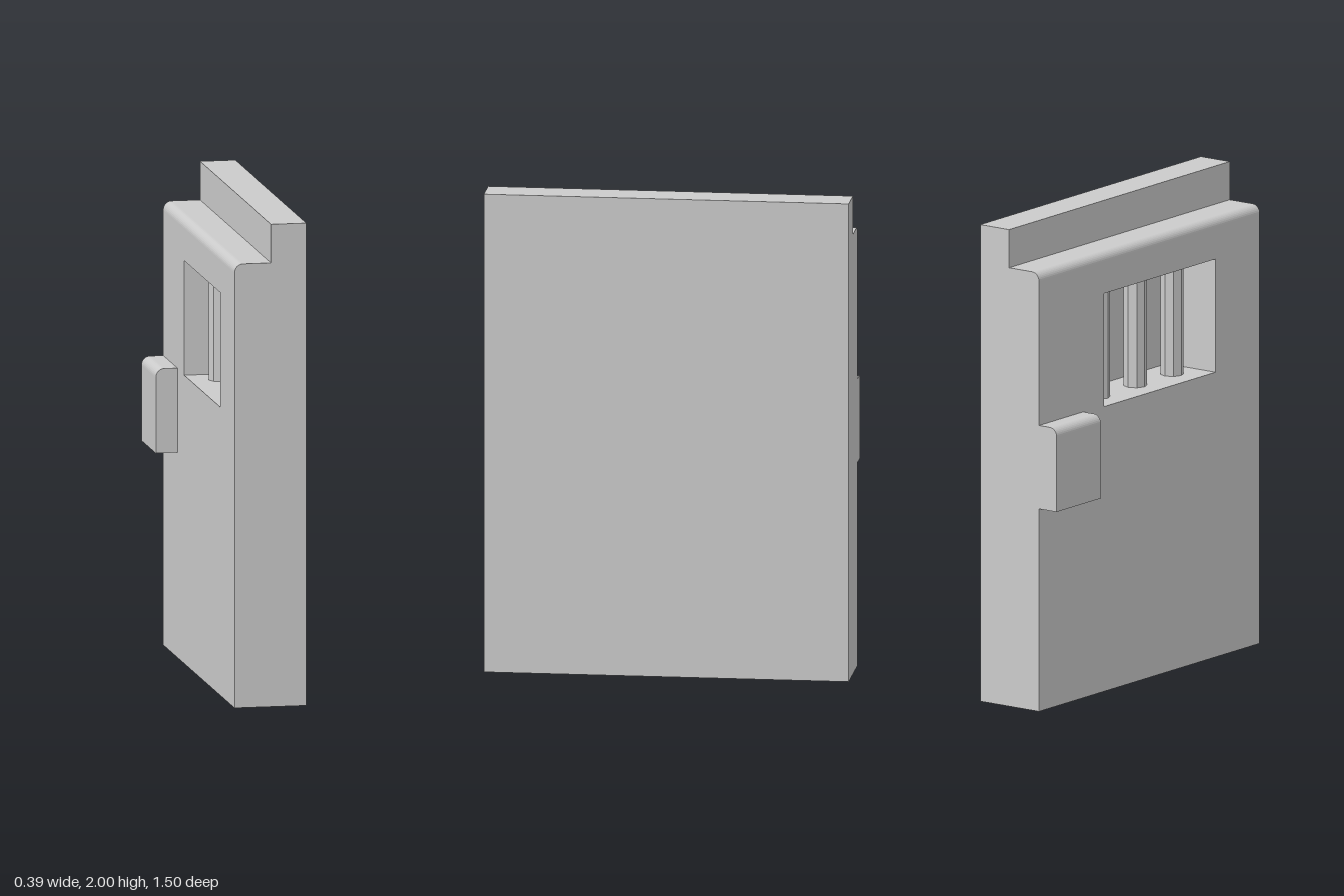
import * as THREE from 'three';

const material = new THREE.MeshStandardMaterial({ color: 0xcccccc, flatShading: true });

// Main dimensions
const FACE = -0.105, BACK = 0.195, STEP = 0.048, LEDGE = 1.84, HALF = 0.75;
const win = { z0: -0.31, z1: 0.45, y0: 1.195, y1: 1.67, depth: 0.25 };
const ROUND = 0.035;

// Extrudes an xy profile between two z positions
function slab(name, shape, z0, z1) {
  const geometry = new THREE.ExtrudeGeometry(shape, { depth: z1 - z0, bevelEnabled: false, curveSegments: 4 });
  geometry.translate(0, 0, z0);
  const mesh = new THREE.Mesh(geometry, material);
  mesh.name = name;
  return mesh;
}

// Cross-section of the door, optionally with the window recess cut into its face
function doorProfile(withWindow) {
  const s = new THREE.Shape();
  s.moveTo(FACE, 0);
  s.lineTo(BACK, 0);
  s.lineTo(BACK, 2);
  s.lineTo(STEP, 2);
  s.lineTo(STEP, LEDGE);
  s.lineTo(FACE + ROUND, LEDGE);
  s.absarc(FACE + ROUND, LEDGE - ROUND, ROUND, Math.PI / 2, Math.PI, false);
  if (withWindow) {
    s.lineTo(FACE, win.y1);
    s.lineTo(FACE + win.depth, win.y1);
    s.lineTo(FACE + win.depth, win.y0);
    s.lineTo(FACE, win.y0);
  }
  s.closePath();
  return s;
}

export function createModel() {
  const model = new THREE.Group();
  model.name = 'cellDoor';

  // Door panel: the ends of the solid parts form the side walls of the recess
  const panel = new THREE.Group();
  panel.name = 'doorPanel';
  panel.add(
    slab('lockSidePanel', doorProfile(false), -HALF, win.z0),
    slab('windowPanel', doorProfile(true), win.z0, win.z1),
    slab('hingeSidePanel', doorProfile(false), win.z1, HALF)
  );
  model.add(panel);

  // Lock box with a rounded upper edge
  const left = -0.195, bottom = 0.85, top = 1.2;
  const lock = new THREE.Shape();
  lock.moveTo(left, bottom);
  lock.lineTo(FACE, bottom);
  lock.lineTo(FACE, top);
  lock.lineTo(left + ROUND, top);
  lock.absarc(left + ROUND, top - ROUND, ROUND, Math.PI / 2, Math.PI, false);
  lock.closePath();
  model.add(slab('lockBox', lock, -HALF, -0.45));

  // Three upright bars in the window
  const bars = new THREE.Group();
  bars.name = 'windowBars';
  const barGeometry = new THREE.CylinderGeometry(0.048, 0.048, win.y1 - win.y0, 8, 1, true);
  for (let i = -1; i <= 1; i++) {
    const bar = new THREE.Mesh(barGeometry, material);
    bar.name = 'windowBar';
    bar.position.set(FACE + win.depth / 2, (win.y0 + win.y1) / 2, (win.z0 + win.z1) / 2 + i * 0.25);
    bars.add(bar);
  }
  model.add(bars);

  return model;
}
